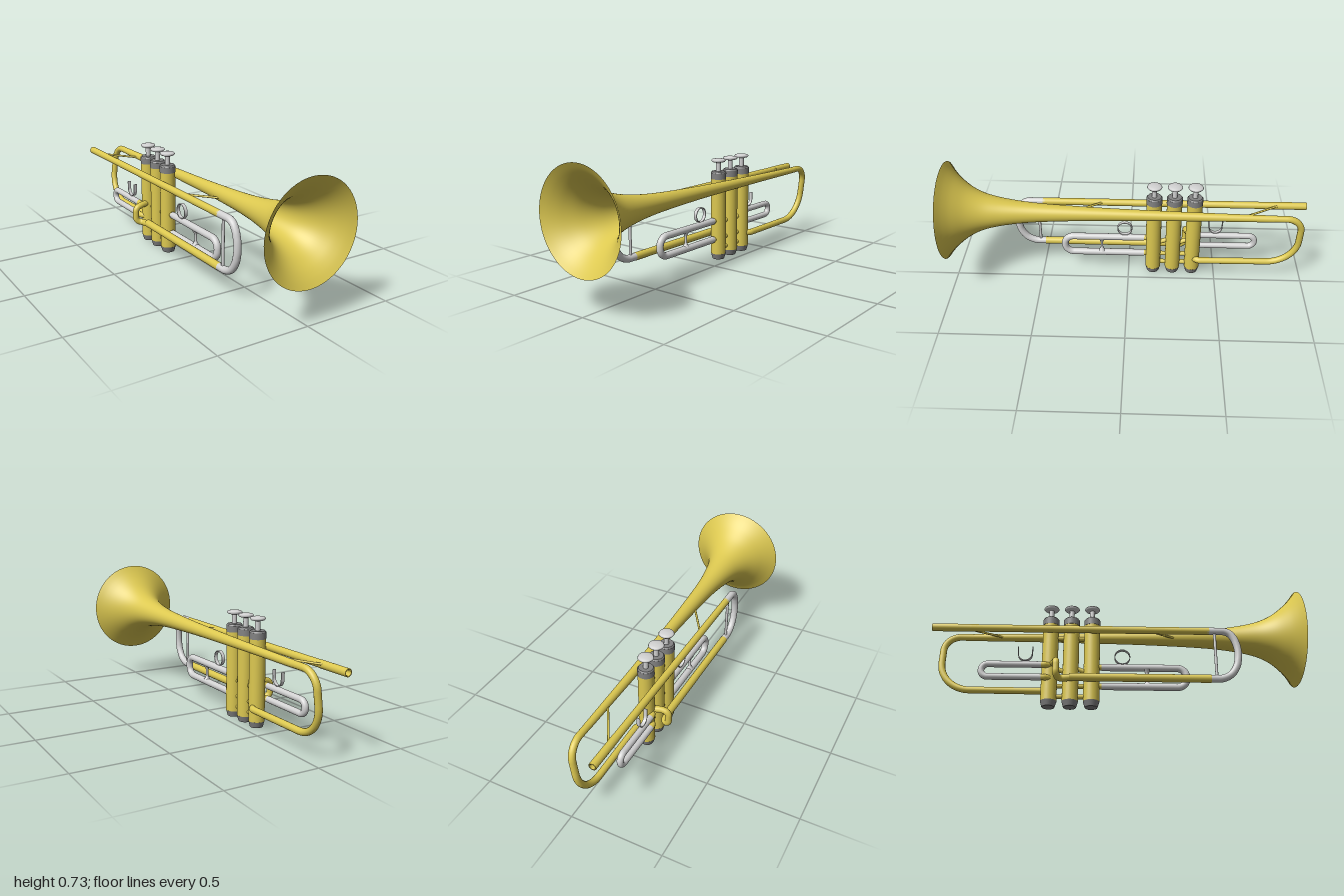
import * as THREE from 'three';

const V = (x, y, z) => new THREE.Vector3(x, y, z);

export function createModel() {
  const brass = new THREE.MeshStandardMaterial({ color: 0xdcc850, side: THREE.DoubleSide });
  const silver = new THREE.MeshStandardMaterial({ color: 0xd2d2d2, side: THREE.DoubleSide });
  const steel = new THREE.MeshStandardMaterial({ color: 0x828282, side: THREE.DoubleSide });
  brass.name = 'brass';
  silver.name = 'silver';
  steel.name = 'darkSteel';

  const model = new THREE.Group();
  model.name = 'trumpet';

  function add(name, geometry, material, parent = model) {
    const mesh = new THREE.Mesh(geometry, material);
    mesh.name = name;
    parent.add(mesh);
    return mesh;
  }

  // Polyline path whose corners are rounded to a given radius
  function roundedPath(points, radius) {
    const path = new THREE.CurvePath();
    let from = points[0];
    for (let i = 1; i < points.length - 1; i++) {
      const c = points[i];
      const toPrev = points[i - 1].clone().sub(c);
      const toNext = points[i + 1].clone().sub(c);
      const r = Math.min(radius, toPrev.length() * 0.499, toNext.length() * 0.499);
      const a = c.clone().addScaledVector(toPrev.normalize(), r);
      const b = c.clone().addScaledVector(toNext.normalize(), r);
      path.add(new THREE.LineCurve3(from, a));
      path.add(new THREE.CubicBezierCurve3(a, a.clone().lerp(c, 0.55), b.clone().lerp(c, 0.55), b));
      from = b;
    }
    path.add(new THREE.LineCurve3(from, points[points.length - 1]));
    return path;
  }

  function pipe(name, points, r, material, bend = 0.05, segments = 90) {
    return add(name, new THREE.TubeGeometry(roundedPath(points, bend), segments, r, 16), material);
  }

  // Straight round rod between two points
  function rod(name, a, b, r, material) {
    const dir = b.clone().sub(a);
    const mesh = add(name, new THREE.CylinderGeometry(r, r, dir.length(), 12), material);
    mesh.position.copy(a).lerp(b, 0.5);
    mesh.quaternion.setFromUnitVectors(V(0, 1, 0), dir.normalize());
    return mesh;
  }

  // Flat outline in the z-y plane, given width along x
  function band(name, shape, width, x, y, z) {
    const g = new THREE.ExtrudeGeometry(shape, { depth: width, bevelEnabled: false, curveSegments: 24 });
    g.translate(0, 0, -width / 2).rotateY(-Math.PI / 2);
    add(name, g, silver).position.set(x, y, z);
  }

  // Bell: flaring profile of [z, radius], its axis dropping slightly to the rear
  const profile = [
    [-0.8, 0.019], [-0.4, 0.024], [0, 0.032], [0.2, 0.038], [0.4, 0.047], [0.52, 0.055], [0.62, 0.066],
    [0.72, 0.083], [0.8, 0.105], [0.87, 0.14], [0.93, 0.187], [0.97, 0.229], [1, 0.27],
  ];
  const smooth = new THREE.SplineCurve(profile.map(([z, r]) => new THREE.Vector2(r, z))).getPoints(60);
  const bell = new THREE.LatheGeometry(smooth, 64).rotateX(Math.PI / 2);
  const pos = bell.attributes.position;
  for (let i = 0; i < pos.count; i++) {
    pos.setY(i, pos.getY(i) + 0.455 - (1 - pos.getZ(i)) * 0.0085);
  }
  add('bell', bell, brass);

  // Rear bow sweeping down and forward into the rear valve
  pipe('rearBow', [
    V(0, 0.44, -0.78), V(0, 0.44, -0.959), V(-0.04, 0.11, -0.959), V(-0.033, 0.11, -0.385), V(-0.09, 0.11, -0.372),
  ], 0.0185, brass, 0.165, 140);

  // Leadpipe, with an open mouthpiece end
  const px = -0.15;
  const lead = new THREE.LatheGeometry([
    new THREE.Vector2(0.014, -0.9), new THREE.Vector2(0.014, -1), new THREE.Vector2(0.021, -1),
    new THREE.Vector2(0.021, -0.8), new THREE.Vector2(0.02, -0.79), new THREE.Vector2(0.02, 0.49),
  ], 20).rotateX(Math.PI / 2);
  add('leadpipe', lead, brass).position.set(px, 0.425, 0);

  // Main tuning slide with its strut
  pipe('tuningSlide', [
    V(px, 0.425, 0.48), V(px, 0.425, 0.59), V(px, 0.385, 0.625), V(px, 0.3, 0.648),
    V(px, 0.2, 0.628), V(px, 0.145, 0.57), V(px, 0.145, 0.48),
  ], 0.02, silver, 0.05, 70);
  rod('tuningSlideStrut', V(px, 0.145, 0.52), V(px, 0.425, 0.52), 0.008, silver);

  // Lower pipe running back and looping up into the rear valve
  pipe('lowerPipe', [V(px, 0.145, 0.49), V(px, 0.145, -0.26)], 0.0215, brass, 0.05, 4);
  pipe('valveInletLoop', [
    V(px, 0.145, -0.22), V(-0.152, 0.135, -0.315), V(-0.19, 0.145, -0.33),
    V(-0.19, 0.222, -0.33), V(-0.155, 0.235, -0.335), V(-0.09, 0.235, -0.36),
  ], 0.018, brass, 0.03, 70);

  // Three piston valves
  const vx = -0.081;
  const valveZ = [-0.143, -0.256, -0.369];
  for (const z of valveZ) {
    const valve = new THREE.Group();
    valve.name = 'valve';
    valve.position.set(vx, 0, z);
    model.add(valve);
    const piece = (name, rTop, rBottom, y0, y1, material) => {
      add(name, new THREE.CylinderGeometry(rTop, rBottom, y1 - y0, 32), material, valve).position.y = (y0 + y1) / 2;
    };
    piece('valveCasing', 0.043, 0.043, 0.032, 0.48, brass);
    piece('bottomCap', 0.0435, 0.035, 0.003, 0.033, steel);
    piece('bottomCapBase', 0.035, 0.033, 0, 0.003, steel);
    piece('topCap', 0.0445, 0.0445, 0.475, 0.51, steel);
    piece('topCapRim', 0.038, 0.0435, 0.51, 0.518, steel);
    piece('valveStem', 0.014, 0.014, 0.51, 0.575, silver);
    const button = [[0, 0.568], [0.016, 0.568], [0.036, 0.573], [0.042, 0.58], [0.038, 0.587], [0.02, 0.591], [0, 0.592]];
    add('fingerButton', new THREE.LatheGeometry(button.map(([r, y]) => new THREE.Vector2(r, y)), 32), silver, valve);
  }

  // Short pipes joining neighbouring valves
  for (let i = 0; i < 2; i++) {
    for (const [y0, y1] of [[0.4, 0.4], [0.12, 0.12], [0.06, 0.06], [0.19, 0.235]]) {
      rod('valveLink', V(vx, y0, valveZ[i]), V(vx, y1, valveZ[i + 1]), 0.013, brass);
    }
  }

  // Front valve slide, its sleeves, brace and finger ring
  pipe('frontSlide', [
    V(vx, 0.232, -0.09), V(vx, 0.232, 0.368), V(vx, 0.122, 0.368), V(vx, 0.122, -0.09),
  ], 0.0195, silver, 0.05, 130);
  for (const y of [0.232, 0.122]) {
    rod('frontSlideSleeve', V(vx, y, -0.14), V(vx, y, -0.08), 0.016, brass);
  }
  const brace = [[0.02, 0.134], [0.011, 0.148], [0.007, 0.16], [0.007, 0.194], [0.011, 0.206], [0.02, 0.22]];
  add('frontSlideBrace', new THREE.LatheGeometry(brace.map(([r, y]) => new THREE.Vector2(r, y)), 16), silver)
    .position.set(vx, 0, 0.155);

  const ring = new THREE.Shape().absarc(0, 0, 0.043, 0, Math.PI * 2);
  ring.holes.push(new THREE.Path().absarc(0, 0, 0.039, 0, Math.PI * 2, true));
  band('fingerRing', ring, 0.02, vx - 0.005, 0.291, 0.022);

  // Rear valve slide, its connectors and thumb saddle
  const rx = -0.125;
  pipe('rearSlide', [
    V(rx, 0.225, -0.41), V(rx, 0.225, -0.727), V(rx, 0.153, -0.727), V(rx, 0.153, -0.41),
  ], 0.0175, silver, 0.035, 110);
  for (const y of [0.225, 0.153]) {
    pipe('rearSlideConnector', [V(rx, y, -0.42), V(rx, y, -0.375), V(vx, y, -0.355)], 0.0165, brass, 0.03, 24);
  }
  const saddle = new THREE.Shape();
  saddle.moveTo(-0.041, 0.042);
  saddle.lineTo(-0.039, 0);
  saddle.absarc(0, 0, 0.039, Math.PI, Math.PI * 2, false);
  saddle.lineTo(0.041, 0.042);
  saddle.lineTo(0.037, 0.042);
  saddle.lineTo(0.035, 0);
  saddle.absarc(0, 0, 0.035, Math.PI * 2, Math.PI, true);
  saddle.lineTo(-0.037, 0.042);
  band('thumbSaddle', saddle, 0.02, rx, 0.284, -0.498);

  // Slanted rods bracing the leadpipe to the bell
  rod('rearBrace', V(-0.145, 0.43, -0.85), V(-0.01, 0.438, -0.63), 0.006, brass);
  rod('frontBrace', V(-0.145, 0.43, 0.14), V(-0.035, 0.438, 0.31), 0.006, brass);

  return model;
}
